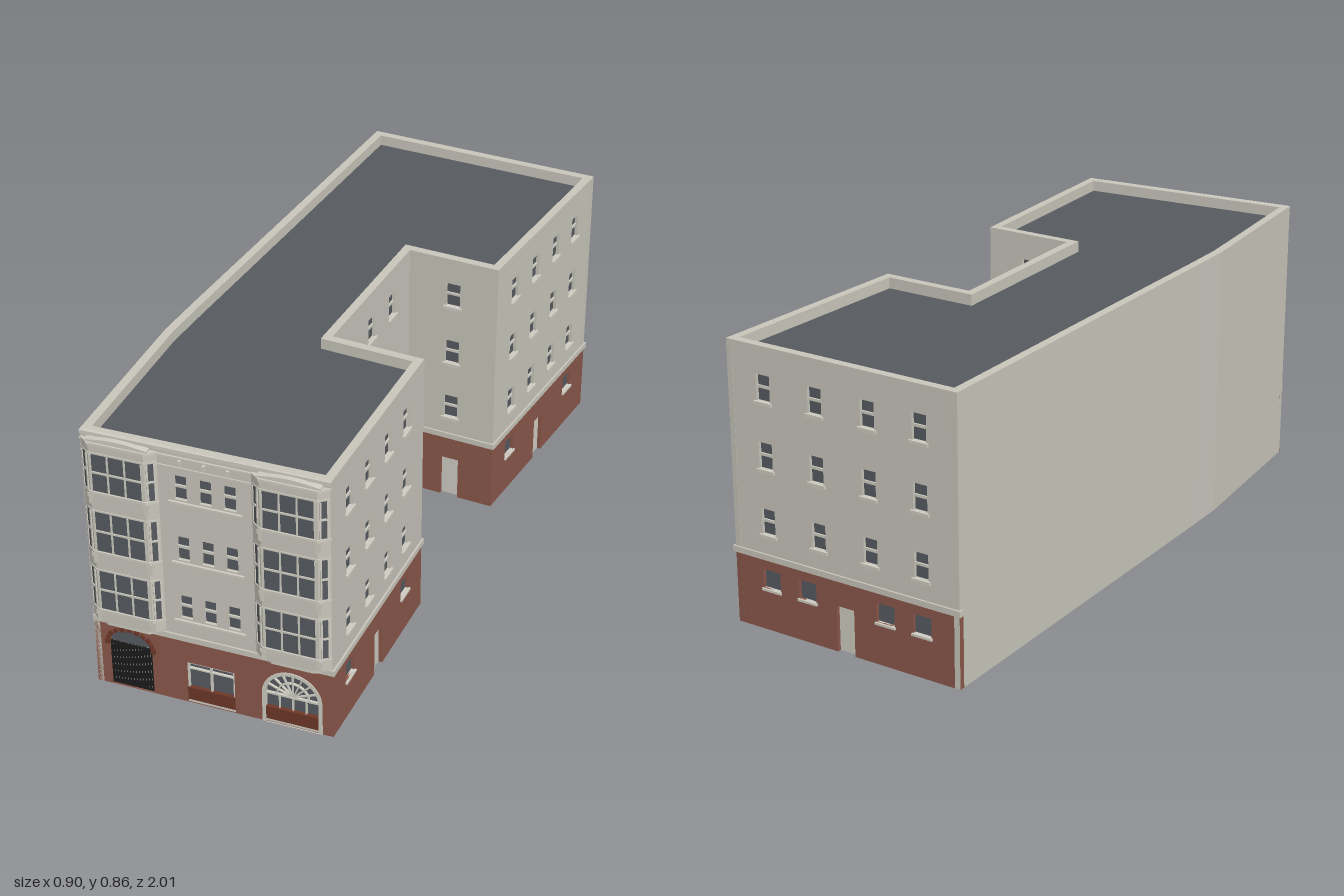
import * as THREE from 'three';

const mat = (name, color, side = THREE.FrontSide) => {
  const m = new THREE.MeshStandardMaterial({ color, side });
  m.name = name;
  return m;
};
const stone = mat('stone', 0xc9c7bc);
const trim = mat('trim', 0xd0cec3);
const brick = mat('brick', 0x8b584a);
const slate = mat('slate', 0x575b60, THREE.DoubleSide);
const wood = mat('wood', 0x6e3829);
const iron = mat('iron', 0x1b1b1c);

const V = (x, y) => new THREE.Vector2(x, y);
const H = 0.86, BASE = 0.22, DEPTH = 0.018, FRONT = 0.975;
const ROWS = [[0.298, 0.376], [0.497, 0.576], [0.698, 0.776]];

// Outline as [x, z]; the outside lies to the right of travel seen from above
const OUTLINE = [
  [-0.45, FRONT], [0.272, FRONT], [0.298, 0.317], [0.013, 0.29], [0.05, -0.265],
  [0.34, -0.238], [0.44, -0.93], [-0.325, -1], [-0.438, 0.27], [-0.45, 0.42],
];

function add(parent, name, geo, material, x = 0, y = 0, z = 0) {
  const m = new THREE.Mesh(geo, material);
  m.name = name;
  m.position.set(x, y, z);
  parent.add(m);
  return m;
}

// Box given by its x, y and z limits
function box(parent, name, material, x0, x1, y0, y1, z0, z1) {
  return add(parent, name, new THREE.BoxGeometry(x1 - x0, y1 - y0, z1 - z0), material,
    (x0 + x1) / 2, (y0 + y1) / 2, (z0 + z1) / 2);
}

// Upright plate from a 2D outline with holes, its face at z
function plate(parent, name, material, points, holes, z, depth) {
  const s = new THREE.Shape(points);
  s.holes = holes.map(h => new THREE.Path(h));
  return add(parent, name, new THREE.ExtrudeGeometry(s, { depth, bevelEnabled: false }), material, 0, 0, z - depth);
}

// Horizontal slab from a plan outline
function slab(parent, name, material, plan, y0, y1, hole) {
  const s = new THREE.Shape(plan.map(p => V(p[0], -p[1])));
  if (hole) s.holes = [new THREE.Path(hole.map(p => V(p[0], -p[1])))];
  const g = new THREE.ExtrudeGeometry(s, { depth: y1 - y0, bevelEnabled: false }).rotateX(-Math.PI / 2);
  return add(parent, name, g, material, 0, y0, 0);
}

const rect = (x0, x1, y0, y1) => [V(x0, y0), V(x1, y0), V(x1, y1), V(x0, y1)];

function arch(cx, y0, spring, rx, ry) {
  const pts = [V(cx - rx, y0), V(cx + rx, y0)];
  for (let i = 0; i <= 20; i++) {
    const a = i * Math.PI / 20;
    pts.push(V(cx + rx * Math.cos(a), spring + ry * Math.sin(a)));
  }
  return pts;
}

// Mitred inward offset of the outline
function inset(poly, d) {
  const n = poly.length;
  const normal = (p, q) => {
    const dx = q[0] - p[0], dz = q[1] - p[1], l = Math.hypot(dx, dz);
    return [dz / l, -dx / l];
  };
  return poly.map((p, i) => {
    const u = normal(poly[(i + n - 1) % n], p), v = normal(p, poly[(i + 1) % n]);
    const k = d / (1 + u[0] * v[0] + u[1] * v[1]);
    return [p[0] + (u[0] + v[0]) * k, p[1] + (u[1] + v[1]) * k];
  });
}

// Group whose x runs from a to b and whose z points outward
function facing(parent, name, a, b) {
  const g = new THREE.Group();
  g.name = name;
  g.position.set(a[0], 0, a[1]);
  g.rotation.y = Math.atan2(a[1] - b[1], b[0] - a[0]);
  parent.add(g);
  return [g, Math.hypot(b[0] - a[0], b[1] - a[1])];
}

function sashWindow(g, x, w, y0, y1, bar = true) {
  const l = x - w / 2, r = x + w / 2, m = y0 + (y1 - y0) * 0.52;
  box(g, 'windowPane', slate, l, r, y0, y1, -0.015, -0.01);
  if (bar) box(g, 'sashBar', trim, l, r, m - 0.004, m + 0.004, -0.012, -0.005);
}

// Wall with sash windows above and small windows and a door below
function sideWall(parent, name, a, b, cols, low, door) {
  const [g, L] = facing(parent, name, a, b);
  const upper = [], lower = [];
  for (const f of cols) for (const [y0, y1] of ROWS) {
    const x = f * L;
    upper.push(rect(x - 0.023, x + 0.023, y0, y1));
    sashWindow(g, x, 0.046, y0, y1);
    box(g, 'windowSill', trim, x - 0.03, x + 0.03, y0 - 0.01, y0, -0.01, 0.007);
  }
  for (const f of low) {
    const x = f * L;
    lower.push(rect(x - 0.03, x + 0.03, 0.13, 0.188));
    sashWindow(g, x, 0.06, 0.13, 0.188, false);
    box(g, 'lowSill', trim, x - 0.034, x + 0.034, 0.123, 0.13, -0.01, 0.006);
  }
  const d = door * L, w = 0.03;
  box(g, 'door', trim, d - w, d + w, 0, 0.142, -0.017, -0.012);
  const base = [V(0, 0), V(d - w, 0), V(d - w, 0.142), V(d + w, 0.142), V(d + w, 0), V(L, 0), V(L, BASE), V(0, BASE)];
  plate(g, 'brickBase', brick, base, lower, 0, DEPTH);
  plate(g, 'upperWall', stone, rect(0, L, BASE, H), upper, 0, DEPTH);
  box(g, 'stringCourse', stone, -0.006, L + 0.006, BASE, 0.238, -0.01, 0.006);
}

// Three-sided bay with stacked glazing
function bay(parent, x0, x1) {
  const g = new THREE.Group();
  g.name = 'bayWindow';
  parent.add(g);
  const plan = (e, d = 0.021) => [[x0 - e, 0], [x0 + 0.03 - e, d], [x1 - 0.03 + e, d], [x1 + e, 0]];
  slab(g, 'bayBody', stone, plan(0), 0.238, 0.84);
  slab(g, 'bayCorbel', trim, plan(-0.02, 0.014), 0.222, 0.238);
  slab(g, 'bayCornice', trim, plan(0.003, 0.025), 0.832, 0.84);
  // Shallow curved head
  const head = [V(x0 + 0.02, 0.838), V(x1 - 0.02, 0.838)];
  for (let i = 0; i <= 10; i++) head.push(V(x1 - 0.02 - (x1 - x0 - 0.04) * i / 10, 0.845 + 0.009 * Math.sin(Math.PI * i / 10)));
  plate(g, 'bayHead', trim, head, [], 0.02, 0.02);
  const p = plan(0);
  for (const [y0, y1] of [[0.284, 0.413], [0.484, 0.613], [0.684, 0.802]]) {
    slab(g, 'baySill', trim, plan(0.002, 0.025), y0 - 0.009, y0 - 0.002);
    slab(g, 'bayLintel', trim, plan(0.001, 0.023), y1 + 0.002, y1 + 0.007);
    for (let i = 0; i < 3; i++) {
      const [f, L] = facing(g, 'bayGlazing', p[i], p[i + 1]);
      const m = i === 1 ? 0.006 : 0.008, n = i === 1 ? 3 : 1, mid = y0 + (y1 - y0) * 0.52;
      box(f, 'bayPane', slate, m, L - m, y0, y1, -0.001, 0.001);
      box(f, 'bayTransom', trim, m, L - m, mid - 0.003, mid + 0.003, 0, 0.004);
      for (let k = 0; k <= n; k++) {
        const x = m + (L - 2 * m) * k / n;
        box(f, 'bayMullion', trim, x - 0.0025, x + 0.0025, y0, y1, 0, 0.004);
      }
    }
    // Brackets on the corners below each sill
    for (const x of [x0 + 0.03, x1 - 0.03]) {
      box(g, 'bayBracket', trim, x - 0.009, x + 0.009, y0 - 0.022, y0 - 0.009, 0.01, 0.024);
      box(g, 'bayBracketFoot', trim, x - 0.006, x + 0.006, y0 - 0.045, y0 - 0.022, 0.01, 0.0225);
    }
  }
}

function frontWall(parent) {
  const g = new THREE.Group();
  g.name = 'frontWall';
  g.position.z = FRONT;
  parent.add(g);
  const L = -0.45, R = 0.272, upper = [];
  for (const [y0, y1] of ROWS) {
    for (const x of [-0.16, -0.088, -0.017]) {
      upper.push(rect(x - 0.018, x + 0.018, y0, y1));
      sashWindow(g, x, 0.036, y0, y1);
    }
    box(g, 'longSill', trim, -0.195, 0.018, y0 - 0.011, y0 - 0.005, -0.01, 0.007);
  }
  plate(g, 'upperWall', stone, rect(L, R, BASE, H), upper, 0, DEPTH);
  const gate = arch(-0.34, 0.002, 0.152, 0.066, 0.05);
  plate(g, 'brickBase', brick, rect(L, R, 0, BASE),
    [gate, rect(-0.167, -0.023, 0.002, 0.143), arch(0.15, 0.002, 0.102, 0.085, 0.085)], 0, DEPTH);
  box(g, 'stringCourse', stone, L, R + 0.006, BASE, 0.238, -0.01, 0.006);
  box(g, 'upperMoulding', trim, L, R, 0.833, 0.838, -0.01, 0.005);
  box(g, 'frieze', trim, -0.225, 0.047, 0.801, 0.804, -0.01, 0.003);
  box(g, 'parapetMoulding', trim, L, R, 0.85, H, -0.01, 0.004);
  for (const x of [-0.157, -0.087, -0.018]) box(g, 'bracket', trim, x - 0.004, x + 0.004, 0.812, 0.828, -0.005, 0.008);
  bay(g, -0.448, -0.225);
  bay(g, 0.047, 0.27);

  // Arched gateway with iron bars
  plate(g, 'gateTympanum', slate, gate, [], -0.012, 0.006);
  box(g, 'gateInside', slate, -0.41, -0.27, 0.002, 0.2, -0.034, -0.027);
  box(g, 'gateBacking', trim, -0.405, -0.275, 0.002, 0.15, -0.012, -0.01);
  for (let i = 0; i < 14; i++) {
    const x = -0.402 + i * 0.124 / 13;
    box(g, 'gateBar', iron, x - 0.003, x + 0.003, 0.002, 0.152, -0.01, -0.004);
  }
  for (const y of [0.006, 0.148]) box(g, 'gateRail', iron, -0.405, -0.275, y - 0.003, y + 0.003, -0.01, -0.003);
  for (let i = 0; i <= 10; i++) {
    const a = i * Math.PI / 10, s = i % 2 ? 0.01 : 0.014;
    const b = add(g, 'archBlock', new THREE.BoxGeometry(s, 0.015, 0.012), wood,
      -0.34 + 0.071 * Math.cos(a), 0.154 + 0.055 * Math.sin(a), 0);
    b.rotation.z = a;
  }

  // Shop window
  box(g, 'shopGlass', slate, -0.167, -0.023, 0.055, 0.143, -0.015, -0.01);
  box(g, 'shopPanel', wood, -0.167, -0.023, 0.012, 0.055, -0.015, 0.002);
  box(g, 'shopPlinth', trim, -0.167, -0.023, 0.002, 0.012, -0.015, -0.001);
  for (const x of [-0.165, -0.095, -0.025]) box(g, 'shopMullion', trim, x - 0.003, x + 0.003, 0.055, 0.143, -0.011, -0.002);
  for (const y of [0.122, 0.141]) box(g, 'shopTransom', trim, -0.167, -0.023, y - 0.002, y + 0.002, -0.011, -0.002);

  // Arched window with radiating bars
  plate(g, 'archGlass', slate, arch(0.15, 0.05, 0.102, 0.086, 0.086), [], -0.01, 0.005);
  plate(g, 'archFrame', trim, arch(0.15, 0, 0.102, 0.09, 0.09), [arch(0.15, 0.001, 0.102, 0.079, 0.079)], 0.003, 0.015);
  box(g, 'archPanel', wood, 0.071, 0.229, 0.012, 0.055, -0.015, 0.002);
  box(g, 'archPlinth', trim, 0.071, 0.229, 0.002, 0.012, -0.015, -0.001);
  box(g, 'archTransom', trim, 0.071, 0.229, 0.099, 0.105, -0.011, -0.002);
  for (const x of [0.11, 0.15, 0.19]) box(g, 'archMullion', trim, x - 0.002, x + 0.002, 0.055, 0.1, -0.011, -0.003);
  for (let i = 1; i < 8; i++) {
    const a = i * Math.PI / 8;
    const b = add(g, 'fanBar', new THREE.BoxGeometry(0.08, 0.004, 0.007), trim,
      0.15 + 0.04 * Math.cos(a), 0.102 + 0.04 * Math.sin(a), -0.007);
    b.rotation.z = a;
  }
  plate(g, 'fanRing', trim, arch(0.15, 0.1, 0.102, 0.05, 0.05), [arch(0.15, 0.101, 0.102, 0.046, 0.046)], -0.003, 0.007);
}

export function createModel() {
  const model = new THREE.Group();
  model.name = 'cornerBuilding';
  const P = OUTLINE;
  frontWall(model);
  sideWall(model, 'frontWingSide', P[1], P[2], [0.18, 0.385, 0.595, 0.8], [0.18, 0.8], 0.495);
  sideWall(model, 'courtFrontWall', P[2], P[3], [0.5], [], 0.5);
  sideWall(model, 'courtSideWall', P[3], P[4], [0.21, 0.49, 0.76], [0.21, 0.76], 0.49);
  sideWall(model, 'courtRearWall', P[4], P[5], [0.5], [], 0.5);
  sideWall(model, 'rearWingSide', P[5], P[6], [0.18, 0.39, 0.605, 0.81], [0.18, 0.81], 0.495);
  sideWall(model, 'rearWall', P[6], P[7], [0.16, 0.39, 0.62, 0.84], [0.165, 0.33, 0.68, 0.84], 0.5);
  // Plain party wall
  for (let i = 7; i < 10; i++) {
    const [g, L] = facing(model, 'partyWall', P[i], P[(i + 1) % 10]);
    plate(g, 'plainWall', stone, rect(0, L, 0, H), [], 0, DEPTH);
  }
  // Inner lining, parapet and flat roof; the underside stays open
  slab(model, 'innerLining', stone, inset(P, 0.02), 0, 0.81, inset(P, 0.026));
  slab(model, 'parapet', stone, P, 0.81, H, inset(P, 0.026));
  slab(model, 'roof', slate, inset(P, 0.02), 0.818, 0.826);
  return model;
}
